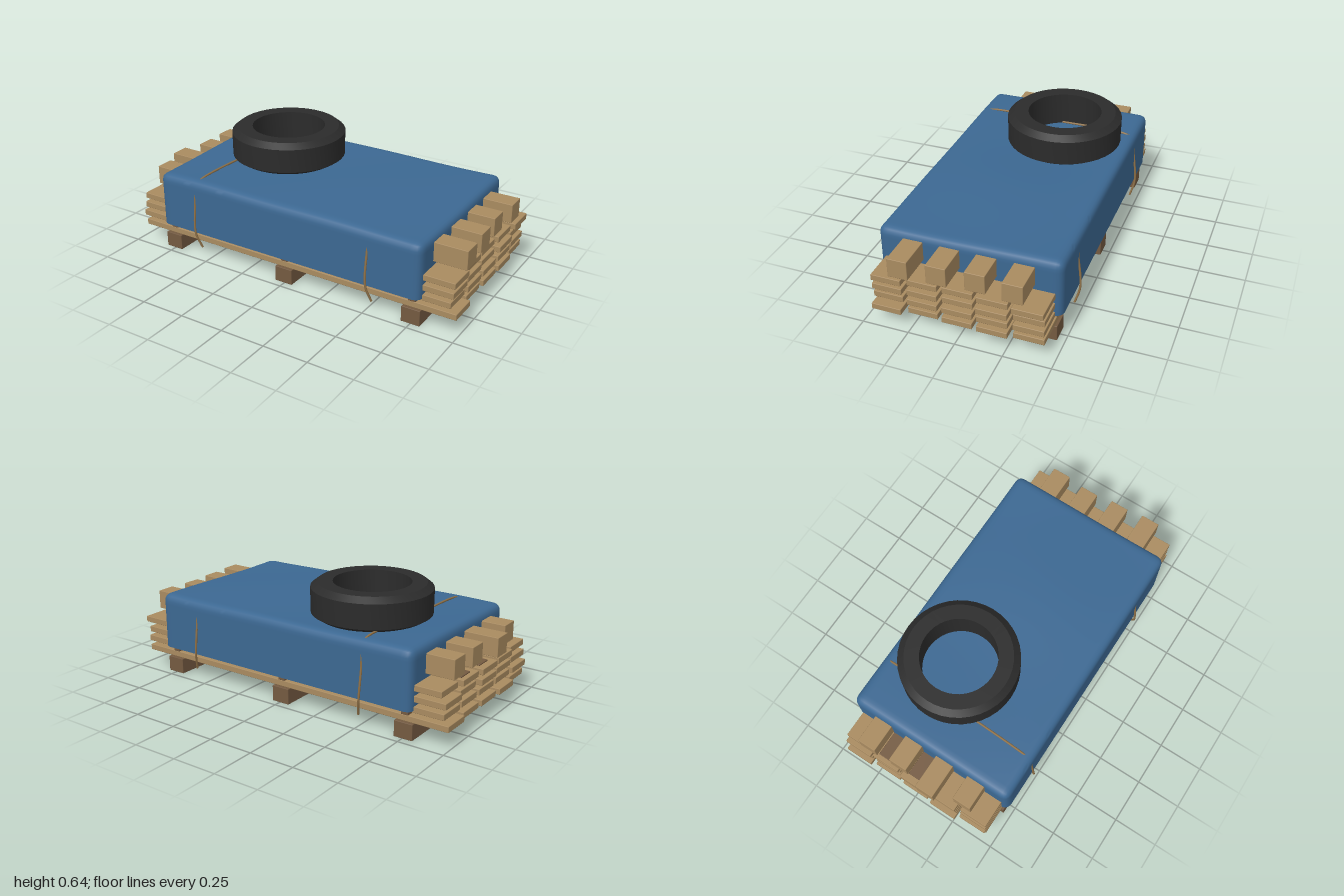
import * as THREE from 'three';
import { mergeVertices, toCreasedNormals } from 'three/addons/utils/BufferGeometryUtils.js';
import { RoundedBoxGeometry } from 'three/addons/geometries/RoundedBoxGeometry.js';

const mat = (name, color) => {
  const m = new THREE.MeshStandardMaterial({ color });
  m.name = name;
  return m;
};

export function createModel() {
  const root = new THREE.Group();
  root.name = 'coveredLumberStack';
  const wood = mat('paleWood', 0xa98b60);
  const darkWood = mat('darkWood', 0x745a41);
  const blue = mat('tarpBlue', 0x3c6892);
  const rubber = mat('rubber', 0x2b2b2b);
  const ropeTan = mat('ropeTan', 0x8f7148);

  let seed = 11;
  const rand = () => (seed = (seed * 16807) % 2147483647) / 2147483647;

  const add = (name, geo, material, parent = root) => {
    const mesh = new THREE.Mesh(geo, material);
    mesh.name = name;
    parent.add(mesh);
    return mesh;
  };
  // box given by its limits, with slightly eased edges
  const block = (name, x0, x1, y0, y1, z0, z1, material, parent) => {
    const geo = new RoundedBoxGeometry(x1 - x0, y1 - y0, z1 - z0, 1, 0.003);
    add(name, geo, material, parent).position.set((x0 + x1) / 2, (y0 + y1) / 2, (z0 + z1) / 2);
  };

  // bearers on the ground, spacer strips between the plank layers
  const layerY = [0.09, 0.145, 0.2, 0.256];
  for (const x of [-0.755, -0.005, 0.75]) {
    block('bearer', x - 0.052, x + 0.052, 0, 0.087, -0.46, 0.46, darkWood);
    for (const y of layerY)
      block('spacer', x - 0.02, x + 0.02, y + 0.033, y + 0.055, -0.45, 0.45, darkWood);
  }

  // four layers of five planks with uneven ends
  const planks = new THREE.Group();
  planks.name = 'planks';
  root.add(planks);
  layerY.forEach((y, row) => {
    for (let i = -2; i <= 2; i++) {
      const z = i * 0.184;
      const shift = (rand() - 0.5) * 0.04;
      const half = row === 0 ? 0.975 : 0.965;
      block('plank', -half + shift, half + shift, y, y + 0.033, z - 0.08, z + 0.08, wood, planks);
    }
  });
  // dark weathered plank ends
  for (const z of [-0.195, -0.003])
    block('weatheredEnd', -0.945, -0.79, 0.288, 0.296, z - 0.045, z + 0.045, darkWood);

  // square beams on top
  [[-0.292, -0.96, 0.97], [-0.097, -0.955, 0.955], [0.097, -0.995, 0.97], [0.292, -0.94, 0.985]]
    .forEach(([z, x0, x1]) => block('beam', x0, x1, 0.313, 0.418, z - 0.053, z + 0.053, wood));

  // tarp: subdivided box with rounded top and corners and a gently sagging top
  const hx = 0.805, hz = 0.484, yb = 0.155, yt = 0.467, r = 0.04;
  let tarp = new THREE.BoxGeometry(hx * 2, yt - yb, hz * 2, 80, 16, 48);
  tarp.translate(0, (yb + yt) / 2, 0);
  const p = tarp.attributes.position;
  const v = new THREE.Vector3(), core = new THREE.Vector3();
  const lo = new THREE.Vector3(-hx + r, yb, -hz + r), hi = new THREE.Vector3(hx - r, yt - r, hz - r);
  for (let i = 0; i < p.count; i++) {
    v.fromBufferAttribute(p, i);
    core.copy(v).clamp(lo, hi);
    v.sub(core);
    if (v.lengthSq() > 0) v.setLength(r);
    v.add(core);
    const lift = Math.max(0, (v.y - 0.3) / (yt - 0.3));
    const wave = Math.sin(v.x * 5.5 + v.z * 2) * Math.cos(v.z * 3.5 - v.x);
    v.y += lift * (0.007 * wave - 0.006 - 0.006 * v.z);
    p.setXYZ(i, v.x, v.y, v.z);
  }
  tarp.deleteAttribute('normal');
  tarp.deleteAttribute('uv');
  tarp = toCreasedNormals(mergeVertices(tarp, 1e-4), 1.2);
  add('tarp', tarp, blue);

  // tyre lying on the tarp
  const profile = [[0.205, 0.462], [0.285, 0.462], [0.32, 0.484], [0.321, 0.617],
    [0.285, 0.645], [0.205, 0.645], [0.205, 0.462]].map(([a, b]) => new THREE.Vector2(a, b));
  const tyre = toCreasedNormals(new THREE.LatheGeometry(profile, 40), 0.45);
  add('tyre', tyre, rubber).position.set(-0.345, 0, -0.11);

  // ropes: over the top, down both sides, ends tucked inward
  const rope = (xf, xb, top) => {
    const pts = [[xf + 0.024, 0.07, 0.475], [xf, 0.16, 0.497], [xf - 0.004, 0.32, 0.483], [xf, top - 0.02, 0.465],
      [xf + 0.003, top, 0.42], [(xf + xb) / 2, top + 0.006, 0], [xb, top + 0.008, -0.42],
      [xb, top - 0.015, -0.465], [xb - 0.004, 0.32, -0.483], [xb, 0.16, -0.497], [xb + 0.015, 0.07, -0.475]];
    const path = new THREE.CatmullRomCurve3(pts.map(a => new THREE.Vector3(...a)), false, 'centripetal');
    add('rope', new THREE.TubeGeometry(path, 100, 0.006, 7), ropeTan);
  };
  rope(-0.56, -0.522, 0.459);
  rope(0.515, 0.555, 0.435);

  return root;
}
